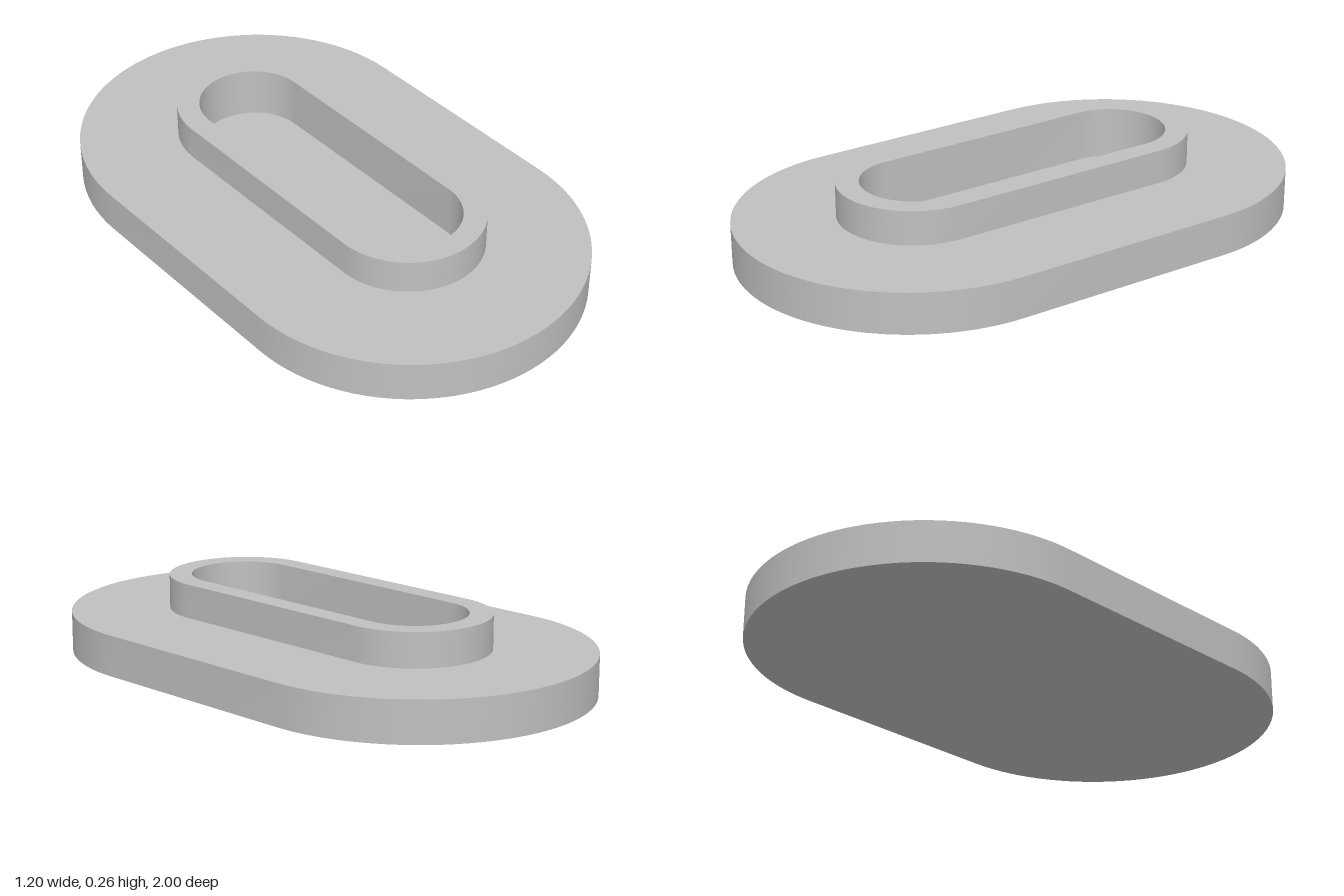
import * as THREE from 'three';
import { toCreasedNormals } from 'three/addons/utils/BufferGeometryUtils.js';

const HALF_STRAIGHT = 0.4; // distance from the middle to each end-arc centre
const ARC_STEPS = 48;

// Closed slot outline of a given end radius (radius 0 is the centre line)
function slotLoop(radius, y) {
  const loop = [];
  for (const end of [0, 1]) {
    for (let i = 0; i <= ARC_STEPS; i++) {
      const t = Math.PI * (end + i / ARC_STEPS);
      loop.push(new THREE.Vector3(
        radius * Math.cos(t), y,
        radius * Math.sin(t) + (end ? -HALF_STRAIGHT : HALF_STRAIGHT)));
    }
  }
  return loop;
}

// Sweep a [radius, y] profile around the slot outline
function slotSweep(profile) {
  const loops = profile.map(([r, y]) => slotLoop(r, y));
  const points = [];
  const addTriangle = (a, b, c) => {
    if (new THREE.Triangle(a, b, c).getArea() > 1e-9) points.push(a, b, c);
  };
  for (let j = 0; j < loops.length - 1; j++) {
    const lower = loops[j], upper = loops[j + 1];
    for (let i = 0; i < lower.length; i++) {
      const k = (i + 1) % lower.length;
      addTriangle(lower[i], upper[i], lower[k]);
      addTriangle(upper[i], upper[k], lower[k]);
    }
  }
  const geometry = new THREE.BufferGeometry().setFromPoints(points);
  return toCreasedNormals(geometry, 0.6);
}

export function createModel() {
  const group = new THREE.Group();
  group.name = 'slottedPlate';
  const grey = new THREE.MeshStandardMaterial({ color: 0xc0c0c0 });
  grey.name = 'grey';

  const parts = {
    // Wide base plate, open where the collar stands
    basePlate: [[0, 0], [0.6, 0], [0.6, 0.14], [0.26, 0.14]],
    // Raised collar: outer wall and flat lip
    collar: [[0.26, 0.14], [0.26, 0.257], [0.183, 0.257]],
    // Blind pocket: inner wall and floor
    pocket: [[0.183, 0.257], [0.183, 0.08], [0, 0.08]],
  };
  for (const [name, profile] of Object.entries(parts)) {
    const mesh = new THREE.Mesh(slotSweep(profile), grey);
    mesh.name = name;
    group.add(mesh);
  }
  return group;
}
